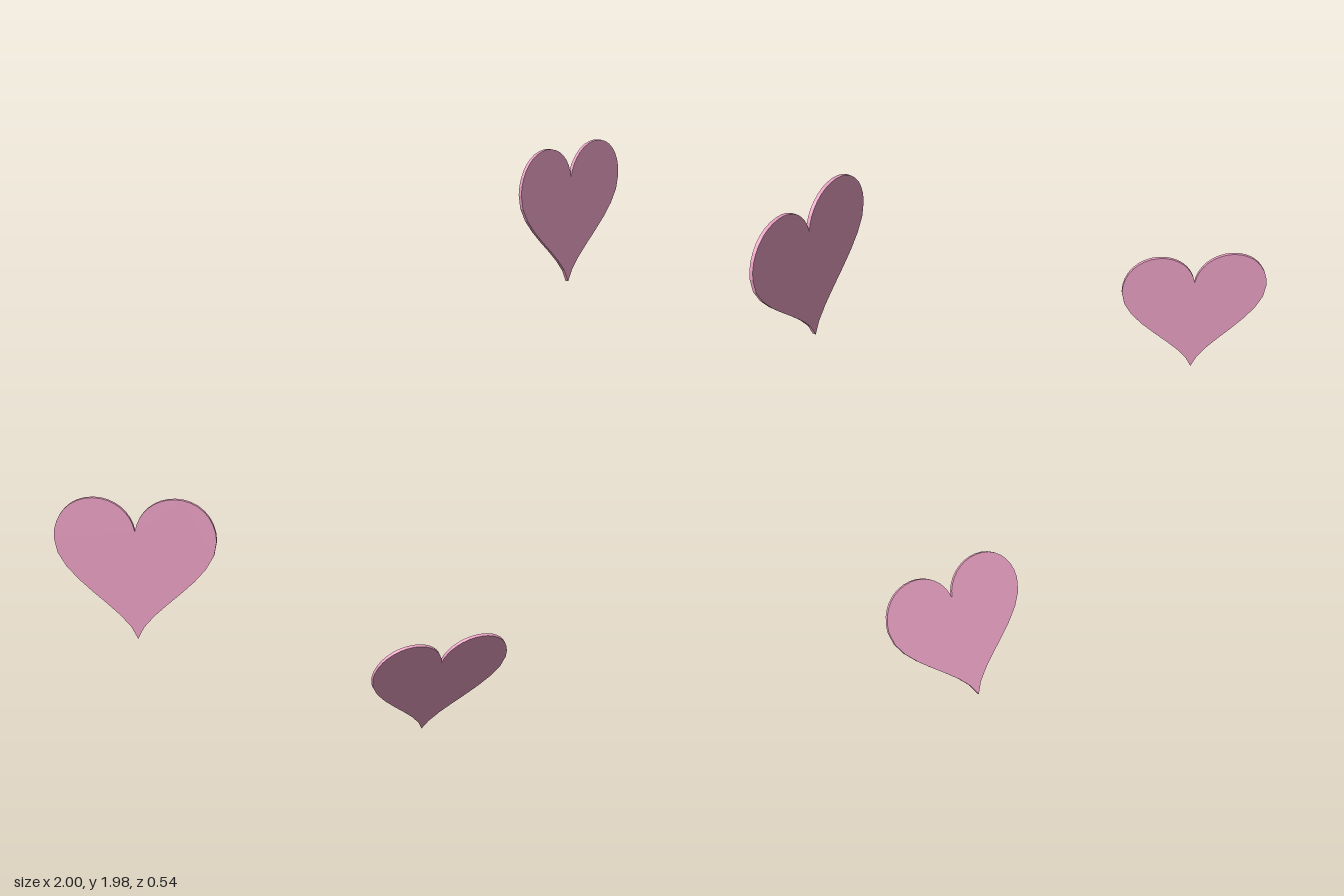
import * as THREE from 'three';

const DEPTH = 0.011;

// Heart outline with its point at the origin, right half then left half
function heartShape() {
  const s = new THREE.Shape();
  s.moveTo(0, 0);
  s.bezierCurveTo(0.03, 0.1, 0.243, 0.19, 0.243, 0.315);
  s.bezierCurveTo(0.243, 0.39, 0.19, 0.443, 0.122, 0.443);
  s.bezierCurveTo(0.06, 0.443, 0.01, 0.4, 0, 0.34);
  s.bezierCurveTo(-0.01, 0.4, -0.06, 0.443, -0.122, 0.443);
  s.bezierCurveTo(-0.19, 0.443, -0.243, 0.39, -0.243, 0.315);
  s.bezierCurveTo(-0.243, 0.19, -0.03, 0.1, 0, 0);
  return s;
}

export function createModel() {
  const group = new THREE.Group();
  group.name = 'floatingHearts';

  const material = new THREE.MeshStandardMaterial({ color: 0xe69ec0 });
  const geometry = new THREE.ExtrudeGeometry(heartShape(), {
    depth: DEPTH, bevelEnabled: false, curveSegments: 8,
  });
  geometry.translate(0, 0, -DEPTH / 2);

  // Each heart: position of its point, then pitch and yaw
  const hearts = [
    { name: 'upperHeart', at: [0.775, 1.543, -0.168], pitch: 0, yaw: 0.43 },
    { name: 'middleHeart', at: [-0.78, 0.653, 0.16], pitch: 0, yaw: -0.45 },
    { name: 'lowerHeart', at: [0.315, 0.004, -0.257], pitch: 0.47, yaw: 0.035 },
  ];
  for (const { name, at, pitch, yaw } of hearts) {
    const heart = new THREE.Mesh(geometry, material);
    heart.name = name;
    heart.position.set(...at);
    heart.rotation.set(pitch, yaw, 0, 'YXZ');
    group.add(heart);
  }
  return group;
}
